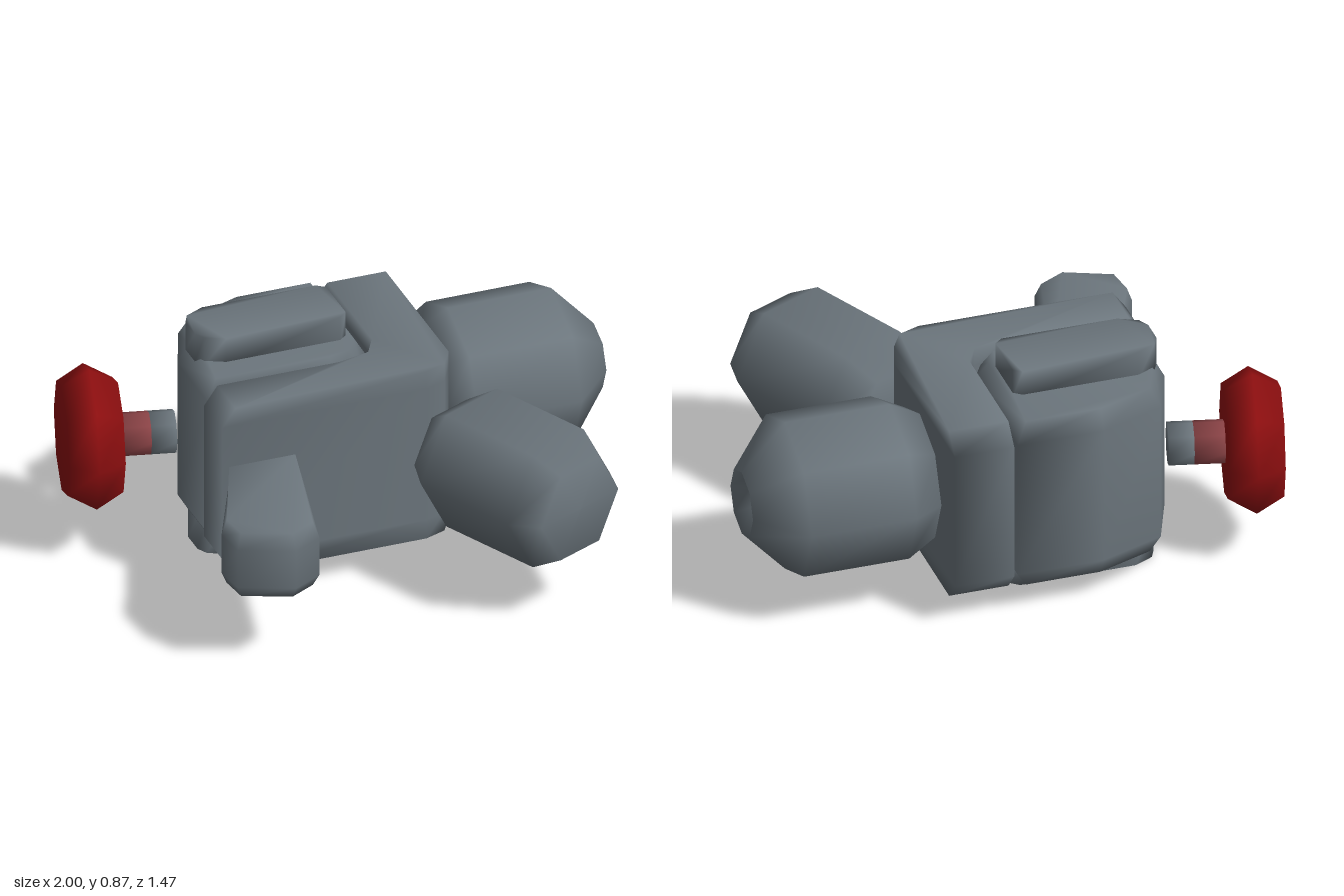
import * as THREE from 'three';

const grey = new THREE.MeshStandardMaterial({ color: 0x6c767d });
grey.name = 'slate grey';
const red = new THREE.MeshStandardMaterial({ color: 0x900f10 });
red.name = 'dark red';
const dullRed = new THREE.MeshStandardMaterial({ color: 0x8a4346 });
dullRed.name = 'dull red';

// Solid made of stacked copies of an [x, z] outline; each layer is [y, rule moving a point].
function stack(outline, layers) {
  const flat = outline.map(([x, z]) => new THREE.Vector2(x, -z));
  if (THREE.ShapeUtils.isClockWise(flat)) {
    flat.reverse();
    outline = [...outline].reverse();
  }
  const n = outline.length;
  const positions = [];
  const index = [];
  for (const [y, rule] of layers) {
    for (const [px, pz] of outline) {
      const [x, z] = rule ? rule(px, pz) : [px, pz];
      positions.push(x, y, z);
    }
  }
  for (let k = 0; k < layers.length - 1; k++) {
    for (let i = 0; i < n; i++) {
      const a = k * n + i;
      const b = k * n + ((i + 1) % n);
      index.push(a, b, b + n, a, b + n, a + n);
    }
  }
  const top = (layers.length - 1) * n;
  for (const [a, b, c] of THREE.ShapeUtils.triangulateShape(flat, [])) {
    index.push(a, c, b, top + a, top + b, top + c);
  }
  const geometry = new THREE.BufferGeometry();
  geometry.setAttribute('position', new THREE.Float32BufferAttribute(positions, 3));
  geometry.setIndex(index);
  geometry.computeVertexNormals();
  return geometry;
}

// Turned solid lying level, its axis running from `start` along the direction (dx, dz).
function turned(profile, sides, start, dx, dz) {
  const points = profile.map(([r, t]) => new THREE.Vector2(r, t));
  const geometry = new THREE.LatheGeometry(points, sides, Math.PI / 2);
  geometry.rotateX(Math.PI / 2);
  geometry.rotateY(Math.atan2(dx, dz));
  geometry.translate(...start);
  return geometry;
}

// Rule shrinking an outline about a centre.
const shrink = (cx, cz, s) => (x, z) => [cx + (x - cx) * s, cz + (z - cz) * s];

export function createModel() {
  const group = new THREE.Group();
  const add = (name, geometry, material = grey) => {
    const mesh = new THREE.Mesh(geometry, material);
    mesh.name = name;
    group.add(mesh);
  };

  // main block with bevelled top and bottom
  const inset = shrink(-0.23, -0.39, 0.87);
  add('mainBlock', stack(
    [[-0.55, -0.1], [-0.06, -0.1], [0.04, -0.125], [0.09, -0.21], [0.09, -0.69],
      [-0.23, -0.69], [-0.47, -0.6], [-0.55, -0.4]],
    [[0.11, inset], [0.18], [0.71], [0.78, inset]]));

  // corner guard wrapped round two sides, its ends bevelled
  const trimEnds = (x, z) => [Math.max(x, -0.52), Math.max(z, -0.63)];
  add('cornerGuard', stack(
    [[-0.57, 0.085], [0.2, 0.085], [0.28, 0.055], [0.325, -0.02], [0.325, -0.695],
      [0.105, -0.695], [0.105, -0.2], [0.06, -0.12], [-0.06, -0.09], [-0.57, -0.09]],
    [[0.105, trimEnds], [0.18], [0.71], [0.78, trimEnds]]));

  // ridge plates above and below
  const ridge = [[-0.52, -0.4], [-0.5, -0.44], [-0.43, -0.475], [0, -0.475], [0.03, -0.45],
    [0.03, -0.26], [0, -0.235], [-0.43, -0.235], [-0.5, -0.27], [-0.52, -0.31]];
  add('topRidge', stack(ridge, [[0.76], [0.873]]));
  add('bottomRidge', stack(ridge.map(([x, z]) => [x + 0.01, z]), [[0.0], [0.13]]));

  // eight-sided side pod with a hollow end
  add('sidePod', turned(
    [[0, 0], [0.24, 0], [0.3, 0.11], [0.3, 0.5], [0.125, 0.66], [0.09, 0.6], [0, 0.58]],
    8, [0.34, 0.455, -0.35], 1, 0));

  // six-sided front pod
  add('frontPod', turned(
    [[0, 0], [0.178, 0], [0.26, 0.11], [0.26, 0.53], [0.195, 0.635], [0, 0.64]],
    6, [0.29, 0.452, 0.075], 0.425, 0.905));

  // tapering front horn, square at its base
  const tip = shrink(-0.54, 0.42, 0.88);
  const narrowTip = (x, z) => (z > 0.2 ? tip(x, z) : [x, z]);
  add('frontHorn', stack(
    [[-0.55, 0.1], [-0.3, 0.1], [-0.4, 0.59], [-0.51, 0.65], [-0.7, 0.57], [-0.715, 0.45]],
    [[0.303, narrowTip], [0.35], [0.5], [0.557, narrowTip]]));

  // tilted disc on a short stem
  const axis = [0.972, 0.237];
  const along = (t) => [-0.85 + axis[0] * t, 0.435, -0.48 + axis[1] * t];
  add('disc', turned(
    [[0, -0.1], [0.21, -0.1], [0.268, 0], [0.21, 0.1], [0, 0.1]],
    8, along(0), ...axis), red);
  const stem = (length) => [[0, 0], [0.08, 0], [0.08, length], [0, length]];
  add('stemCollar', turned(stem(0.12), 8, along(0.09), ...axis), dullRed);
  add('stem', turned(stem(0.09), 8, along(0.21), ...axis));

  return group;
}
